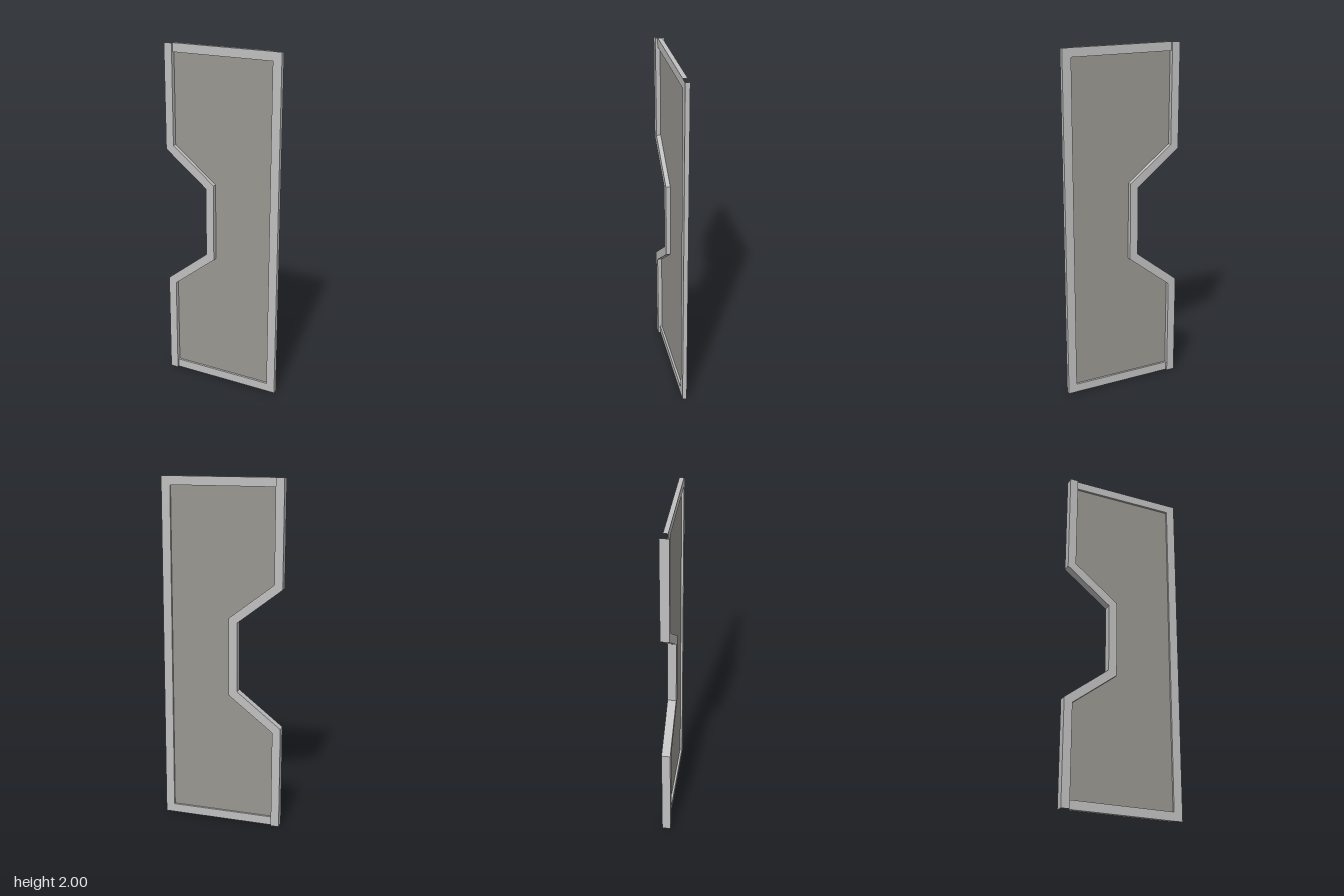
import * as THREE from 'three';

// Hollow square bar with open ends, following matching left and right edge paths (x, y).
function bar(name, left, right, depth, material) {
  const h = depth / 2;
  const rings = left.map(([lx, ly], i) => {
    const [rx, ry] = right[i];
    return [[lx, ly, h], [lx, ly, -h], [rx, ry, -h], [rx, ry, h]];
  });
  const positions = [];
  for (let i = 0; i < rings.length - 1; i++) {
    for (let k = 0; k < 4; k++) {
      const n = (k + 1) % 4;
      const a = rings[i][k], b = rings[i + 1][k], c = rings[i + 1][n], d = rings[i][n];
      positions.push(...a, ...b, ...c, ...a, ...c, ...d);
    }
  }
  const geometry = new THREE.BufferGeometry();
  geometry.setAttribute('position', new THREE.Float32BufferAttribute(positions, 3));
  geometry.computeVertexNormals();
  const mesh = new THREE.Mesh(geometry, material);
  mesh.name = name;
  return mesh;
}

export function createModel() {
  const group = new THREE.Group();
  group.name = 'notchedPanel';

  const frameGrey = new THREE.MeshStandardMaterial({ color: 0xc0c0c0 });
  frameGrey.name = 'frameGrey';
  const panelGrey = new THREE.MeshStandardMaterial({ color: 0x999791, side: THREE.DoubleSide });
  panelGrey.name = 'panelGrey';

  // Edges of the thick rail that bends round the notch, bottom to top
  const outer = [[-0.352, 0], [-0.352, 0.6], [-0.094, 0.8], [-0.094, 1.2], [-0.352, 1.4], [-0.352, 2]];
  const inner = [[-0.304, 0], [-0.304, 0.575], [-0.045, 0.775], [-0.045, 1.225], [-0.304, 1.425], [-0.304, 2]];
  group.add(bar('notchedRail', outer, inner, 0.05, frameGrey));

  // Thinner straight bars on the other three sides
  const thin = 0.025, x0 = -0.304, x1 = 0.301, edge = 0.352;
  group.add(bar('sideBar', [[x1, 0], [x1, 2]], [[edge, 0], [edge, 2]], thin, frameGrey));
  group.add(bar('topBar', [[x0, 2], [x1, 2]], [[x0, 1.95], [x1, 1.95]], thin, frameGrey));
  group.add(bar('bottomBar', [[x0, 0.05], [x1, 0.05]], [[x0, 0], [x1, 0]], thin, frameGrey));

  // Infill sheet inside the frame
  const outline = [[x1, 0.05], [x1, 1.95], [x0, 1.95], ...inner.slice(1, 5).reverse(), [x0, 0.05]];
  const shape = new THREE.Shape(outline.map(([x, y]) => new THREE.Vector2(x, y)));
  const infill = new THREE.Mesh(new THREE.ShapeGeometry(shape), panelGrey);
  infill.name = 'infillPanel';
  group.add(infill);

  return group;
}
